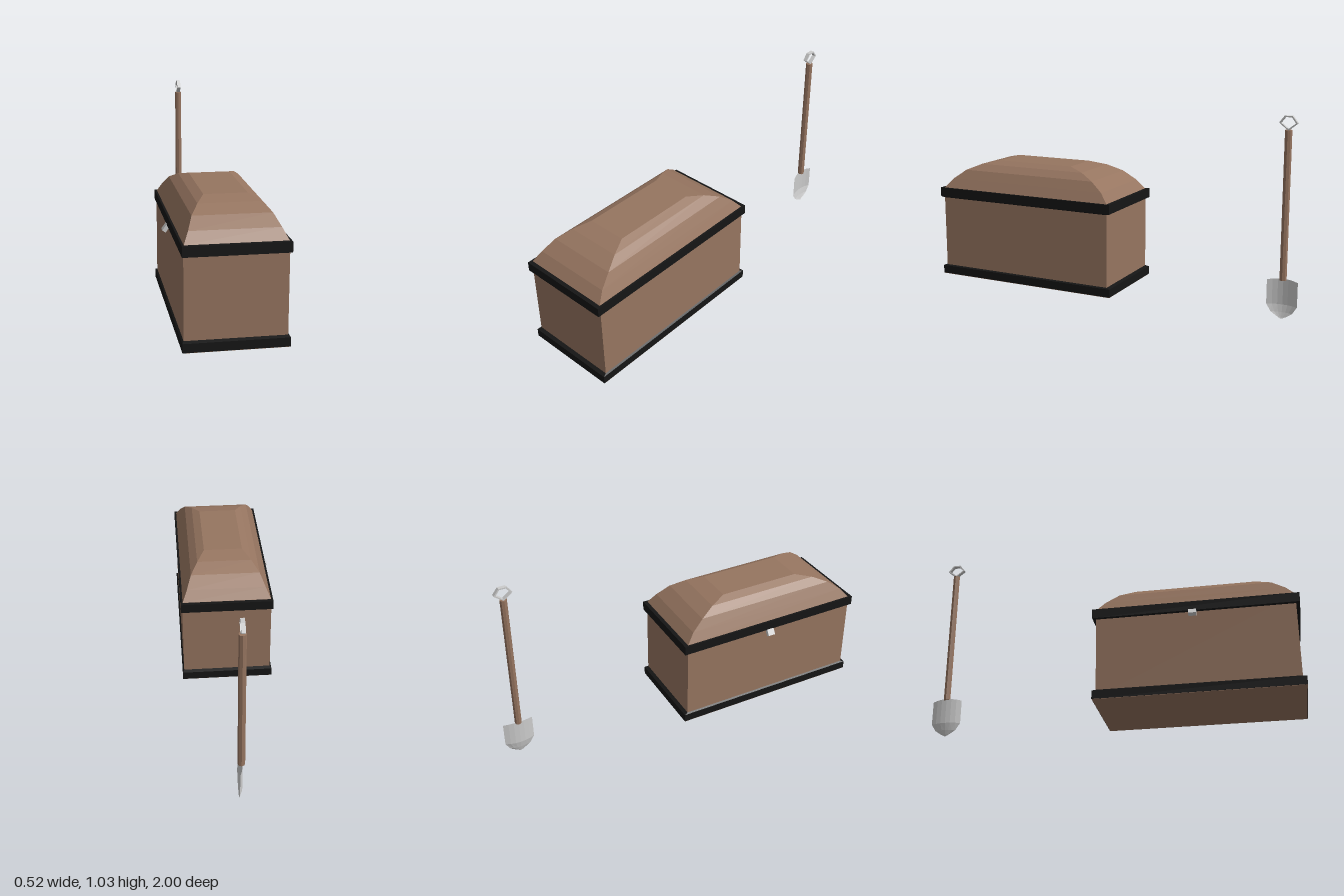
import * as THREE from 'three';

const mat = (color, extra = {}) => new THREE.MeshStandardMaterial({ color, flatShading: true, ...extra });

function part(name, geometry, material, x = 0, y = 0, z = 0) {
  const mesh = new THREE.Mesh(geometry, material);
  mesh.name = name;
  mesh.position.set(x, y, z);
  return mesh;
}

// Stack of rectangles [halfX, halfZ, y] from bottom to top, joined into a closed solid
function rectLoft(rings) {
  const pos = [];
  const corners = rings.map(([hx, hz, y]) => [[hx, y, hz], [hx, y, -hz], [-hx, y, -hz], [-hx, y, hz]]);
  const quad = (a, b, c, d) => pos.push(...a, ...b, ...c, ...a, ...c, ...d);
  for (let r = 0; r < corners.length - 1; r++) {
    for (let i = 0; i < 4; i++) {
      const j = (i + 1) % 4;
      quad(corners[r][i], corners[r][j], corners[r + 1][j], corners[r + 1][i]);
    }
  }
  const bottom = corners[0];
  quad(bottom[3], bottom[2], bottom[1], bottom[0]);
  quad(...corners[corners.length - 1]);
  const g = new THREE.BufferGeometry();
  g.setAttribute('position', new THREE.Float32BufferAttribute(pos, 3));
  g.computeVertexNormals();
  return g;
}

// Scooped blade: rows of [y at edge, y at middle, half width, scoop depth]
function bladeGeometry() {
  const rows = [
    [0.198, 0.206, 0.08, 0.018], [0.13, 0.13, 0.08, 0.018], [0.07, 0.07, 0.08, 0.018],
    [0.032, 0.032, 0.056, 0.01], [0.012, 0.008, 0.026, 0.003], [0, 0, 0.004, 0],
  ];
  const cols = 6;
  const g = new THREE.PlaneGeometry(1, 1, cols, rows.length - 1);
  const p = g.attributes.position;
  rows.forEach(([yEdge, yMid, half, depth], r) => {
    for (let c = 0; c <= cols; c++) {
      const t = (c / cols) * 2 - 1;
      const bow = 1 - t * t;
      p.setXYZ(r * (cols + 1) + c, 0.012 - depth * bow, yEdge + (yMid - yEdge) * bow, -t * half);
    }
  });
  g.computeVertexNormals();
  return g;
}

// Hollow five-sided grip, extruded across x
function gripGeometry() {
  const outline = [[0, 0.958], [0.047, 0.995], [0.02, 1.03], [-0.02, 1.03], [-0.047, 0.995]];
  const toPoints = (k) => outline.map(([z, y]) => new THREE.Vector2(z * k, 0.996 + (y - 0.996) * k));
  const shape = new THREE.Shape(toPoints(1));
  shape.holes.push(new THREE.Path(toPoints(0.8)));
  const g = new THREE.ExtrudeGeometry(shape, { depth: 0.02, bevelEnabled: false });
  g.translate(0, 0, -0.01);
  g.rotateY(Math.PI / 2);
  return g;
}

export function createModel() {
  const model = new THREE.Group();
  const wood = mat(0x967560);
  const trim = mat(0x151515);
  const metal = mat(0xcccccc);
  const sheet = mat(0xcccccc, { side: THREE.DoubleSide });

  // Chest
  const chest = new THREE.Group();
  chest.name = 'chest';
  chest.position.set(0.011, 0, 0.47);
  chest.add(
    part('body', new THREE.BoxGeometry(0.48, 0.48, 1.02), wood, 0, 0.305, 0),
    part('floor', new THREE.BoxGeometry(0.494, 0.004, 1.056), wood, 0, 0.055, 0),
    part('lowerBand', rectLoft([[0.248, 0.53, 0.055], [0.248, 0.53, 0.099], [0.24, 0.51, 0.105]]), trim),
    part('upperBand', rectLoft([[0.24, 0.51, 0.495], [0.248, 0.53, 0.501], [0.248, 0.53, 0.551]]), trim),
    part('lid', rectLoft([
      [0.24, 0.512, 0.545], [0.237, 0.508, 0.552], [0.212, 0.465, 0.602], [0.186, 0.396, 0.652],
      [0.147, 0.316, 0.686], [0.105, 0.226, 0.706],
    ]), wood),
  );

  // Tilted latch under the upper band
  const latch = part('latch', new THREE.BoxGeometry(0.02, 0.036, 0.04), metal, -0.253, 0.485, -0.01);
  latch.rotation.z = -0.6;
  chest.add(latch);

  // Shovel standing upright behind the chest
  const shovel = new THREE.Group();
  shovel.name = 'shovel';
  shovel.position.set(0.012, 0, -0.915);
  shovel.add(
    part('shaft', new THREE.CylinderGeometry(0.0185, 0.0185, 0.76, 8), wood, 0, 0.58, 0),
    part('grip', gripGeometry(), metal),
    part('blade', bladeGeometry(), sheet),
  );

  model.add(chest, shovel);
  return model;
}
